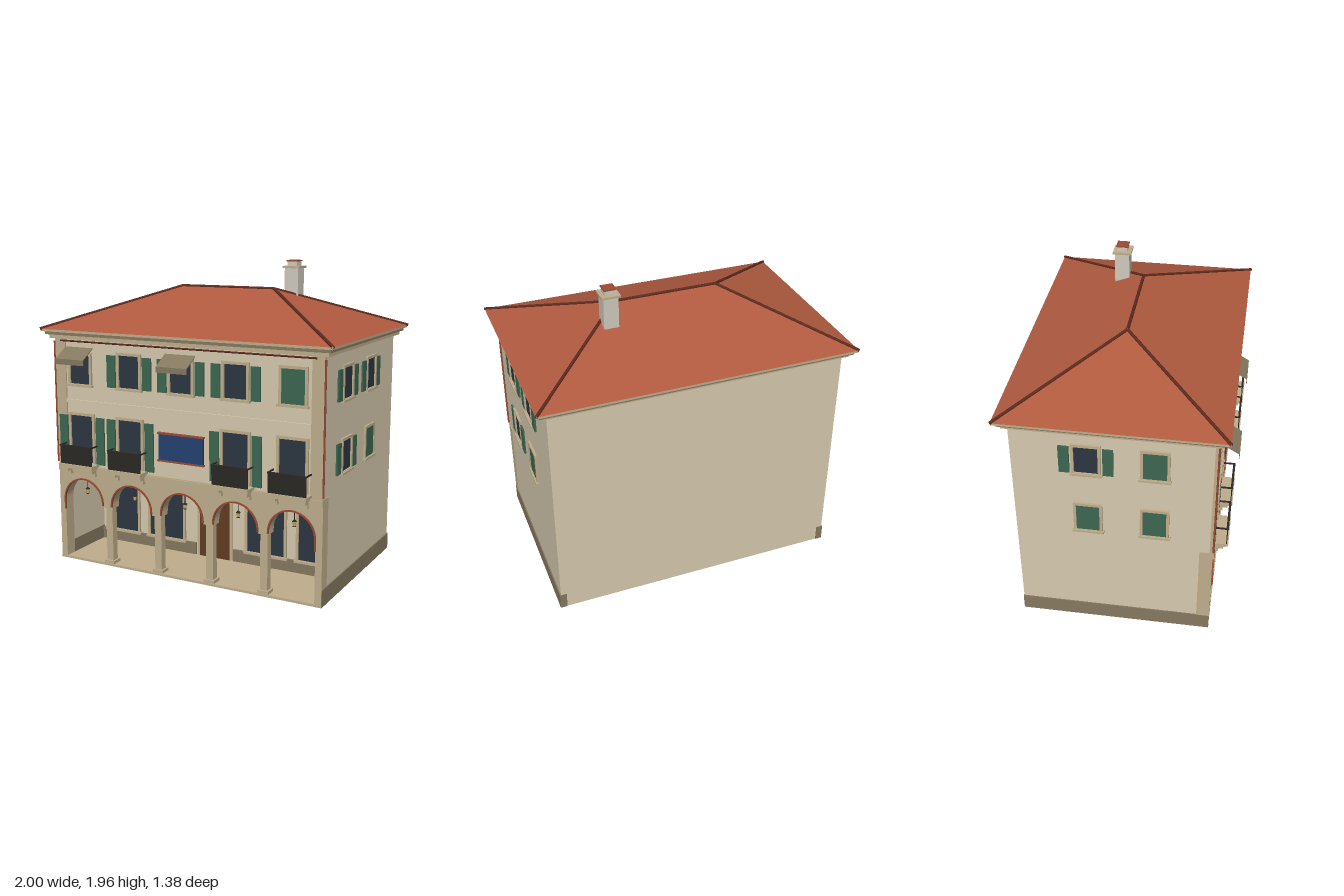
import * as THREE from 'three';

const mats = {};
const mat = (c) => (mats[c] ??= new THREE.MeshStandardMaterial({ color: c, side: THREE.DoubleSide }));
const WALL = 0xd6c9ae, TAN = 0xbfae8c, STONE = 0x857860, GLASS = 0x2c3640, GREEN = 0x3d6650,
  RED = 0x9c4a35, DARK = 0x2b2825, TILE = 0xb05a3f, RIDGE = 0x5c2a1e;

function add(parent, name, geo, color) {
  const m = new THREE.Mesh(geo, mat(color));
  m.name = name;
  parent.add(m);
  return m;
}

// Box given by its low and high corners
function box(parent, name, color, x0, x1, y0, y1, z0, z1) {
  const m = add(parent, name, new THREE.BoxGeometry(x1 - x0, y1 - y0, z1 - z0), color);
  m.position.set((x0 + x1) / 2, (y0 + y1) / 2, (z0 + z1) / 2);
  return m;
}

// Round bar between two points
function bar(parent, name, color, a, b, r, sides = 6) {
  const curve = new THREE.LineCurve3(new THREE.Vector3(...a), new THREE.Vector3(...b));
  return add(parent, name, new THREE.TubeGeometry(curve, 1, r, sides), color);
}

function group(parent, name, x = 0, y = 0, z = 0, ry = 0) {
  const g = new THREE.Group();
  g.name = name;
  g.position.set(x, y, z);
  g.rotation.y = ry;
  parent.add(g);
  return g;
}

// Window standing on local y = 0 and facing local +z
function makeWindow(parent, x, y, z, ry, { hw = 0.07, h = 0.2, shutters = false, closed = false, sill = true }) {
  const g = group(parent, 'window', x, y, z, ry), f = 0.017;
  const s = new THREE.Shape();
  s.moveTo(-hw - f, 0).lineTo(hw + f, 0).lineTo(hw + f, h + f).lineTo(-hw - f, h + f).closePath();
  const hole = new THREE.Path();
  hole.moveTo(-hw, 0.005).lineTo(-hw, h).lineTo(hw, h).lineTo(hw, 0.005).closePath();
  s.holes.push(hole);
  add(g, 'windowFrame', new THREE.ExtrudeGeometry(s, { depth: 0.014, bevelEnabled: false }), TAN);
  box(g, closed ? 'closedShutter' : 'pane', closed ? GREEN : GLASS, -hw, hw, 0.005, h, -0.005, closed ? 0.01 : 0.004);
  if (sill) box(g, 'sill', TAN, -hw - 0.025, hw + 0.025, -0.012, 0.002, 0, 0.022);
  if (shutters) for (const side of [-1, 1]) {
    const c = side * (hw + 0.058);
    box(g, 'shutter', GREEN, c - 0.031, c + 0.031, 0, h - 0.004, 0.001, 0.012);
  }
  return g;
}

// Sloping sun blind with a short valance
function makeAwning(parent, x) {
  const profile = new THREE.Shape();
  profile.moveTo(0, 1.42).lineTo(0.105, 1.355).lineTo(0.105, 1.32).lineTo(0.101, 1.32).lineTo(0.101, 1.352).lineTo(0, 1.414).closePath();
  const m = add(parent, 'awning', new THREE.ExtrudeGeometry(profile, { depth: 0.21, bevelEnabled: false }), STONE);
  m.rotation.y = -Math.PI / 2;
  m.position.set(x + 0.105, 0, 0.585);
  return m;
}

function makeBalcony(parent, x) {
  const g = group(parent, 'balcony', x);
  box(g, 'balconySlab', TAN, -0.125, 0.125, 0.655, 0.672, 0.57, 0.665);
  box(g, 'balconySlabLower', TAN, -0.115, 0.115, 0.64, 0.655, 0.57, 0.65);
  box(g, 'railingPanel', DARK, -0.12, 0.12, 0.672, 0.79, 0.652, 0.657);
  box(g, 'handrail', DARK, -0.122, 0.122, 0.788, 0.796, 0.648, 0.662);
  for (const s of [-1, 1]) {
    box(g, 'sideRail', DARK, s * 0.119 - 0.004, s * 0.119 + 0.004, 0.788, 0.796, 0.58, 0.655);
    box(g, 'bracket', TAN, s * 0.095 - 0.012, s * 0.095 + 0.012, 0.615, 0.64, 0.57, 0.635);
    box(g, 'bracketFoot', TAN, s * 0.095 - 0.012, s * 0.095 + 0.012, 0.59, 0.615, 0.57, 0.605);
  }
}

const BAYS = [-0.737, -0.37, 0, 0.37, 0.737], R = 0.15, SPRING = 0.41;

function makeArcade(parent) {
  const g = group(parent, 'arcade');
  // Front wall with five arches
  const s = new THREE.Shape();
  s.moveTo(-0.93, 0).lineTo(-0.887, 0);
  for (const c of BAYS) {
    s.lineTo(c - R, SPRING);
    s.absarc(c, SPRING, R, Math.PI, 0, true);
  }
  s.lineTo(0.887, 0).lineTo(0.93, 0).lineTo(0.93, 0.65).lineTo(-0.93, 0.65).closePath();
  add(g, 'archWall', new THREE.ExtrudeGeometry(s, { depth: 0.08, bevelEnabled: false, curveSegments: 20 }), TAN).position.z = 0.5;
  box(g, 'stringCourse', TAN, -0.93, 0.93, 0.605, 0.645, 0.57, 0.588);
  // Arch trims, lanterns
  for (const c of BAYS) {
    const t = new THREE.Shape();
    const left = c < -0.5 ? 0.34 : 0.4, right = c > 0.5 ? 0.34 : 0.4;
    t.moveTo(c - R - 0.004, left).lineTo(c - R - 0.004, SPRING);
    t.absarc(c, SPRING, R + 0.004, Math.PI, 0, true);
    t.lineTo(c + R + 0.004, right).lineTo(c + R - 0.005, right).lineTo(c + R - 0.005, SPRING);
    t.absarc(c, SPRING, R - 0.005, 0, Math.PI, false);
    t.lineTo(c - R + 0.005, left).closePath();
    add(g, 'archTrim', new THREE.ExtrudeGeometry(t, { depth: 0.012, bevelEnabled: false, curveSegments: 20 }), RED).position.z = 0.577;
    const l = group(g, 'lantern', c, 0, 0.54);
    bar(l, 'lanternRod', DARK, [0, 0.49, 0], [0, 0.56, 0], 0.002);
    add(l, 'lanternCap', new THREE.ConeGeometry(0.016, 0.015, 6), DARK).position.y = 0.492;
    add(l, 'lanternGlass', new THREE.CylinderGeometry(0.012, 0.008, 0.028, 6), 0xd9b45f).position.y = 0.471;
    add(l, 'lanternBase', new THREE.CylinderGeometry(0.01, 0.01, 0.005, 6), DARK).position.y = 0.455;
  }
  // Columns
  for (const x of [-0.553, -0.185, 0.185, 0.553]) {
    const c = group(g, 'column', x, 0, 0.54);
    box(c, 'plinth', TAN, -0.036, 0.036, 0, 0.035, -0.036, 0.036);
    box(c, 'shaft', TAN, -0.024, 0.024, 0.035, 0.39, -0.024, 0.024);
    box(c, 'capital', TAN, -0.034, 0.034, 0.388, 0.412, -0.038, 0.038);
  }
  // Walkway, inner wall and openings
  box(g, 'walkway', TAN, -0.925, 0.925, 0, 0.015, 0.1, 0.579);
  box(g, 'innerWall', WALL, -0.91, 0.91, 0, 0.63, 0.12, 0.15);
  for (const sgn of [-1, 1]) {
    box(g, 'innerBase', STONE, Math.min(sgn * 0.14, sgn * 0.9), Math.max(sgn * 0.14, sgn * 0.9), 0.015, 0.095, 0.11, 0.165);
    for (const [x, hw] of [[0.37, 0.13], [0.72, 0.12]]) {
      makeWindow(g, sgn * x, 0.095, 0.15, 0, { hw, h: 0.355 });
      box(g, 'innerPane', GLASS, sgn * x - hw, sgn * x + hw, 0.1, 0.45, 0.112, 0.13);
    }
  }
  box(g, 'doorFrame', TAN, -0.13, 0.13, 0.015, 0.42, 0.113, 0.158);
  box(g, 'door', 0x5f3b22, -0.11, 0.11, 0.015, 0.405, 0.108, 0.164);
  box(g, 'doorCanopy', DARK, -0.08, 0.08, 0.44, 0.449, 0.15, 0.2);
}

function makeRoof(parent) {
  const g = group(parent, 'roof');
  const y = 1.53, top = 1.785, zr = -0.017;
  const fl = [-0.995, y, 0.645], fr = [0.995, y, 0.645], br = [0.995, y, -0.68], bl = [-0.995, y, -0.68];
  const rl = [-0.33, top, zr], rr = [0.33, top, zr];
  const tris = [fl, fr, rr, fl, rr, rl, fr, br, rr, br, bl, rl, br, rl, rr, bl, fl, rl];
  const geo = new THREE.BufferGeometry();
  geo.setAttribute('position', new THREE.Float32BufferAttribute(tris.flat(), 3));
  geo.computeVertexNormals();
  add(g, 'roofTiles', geo, TILE);
  box(g, 'eaves', TAN, -0.993, 0.993, 1.515, 1.53, -0.678, 0.643);
  for (const [a, b] of [[fl, rl], [bl, rl], [fr, rr], [br, rr], [rl, rr]]) bar(g, 'ridgeTiles', RIDGE, a, b, 0.01, 8);
  // Stepped cornice
  box(g, 'corniceUpper', STONE, -0.975, 0.975, 1.495, 1.515, -0.66, 0.625);
  box(g, 'corniceLower', TAN, -0.955, 0.955, 1.47, 1.495, -0.635, 0.605);
  // Chimney
  const c = group(g, 'chimney', 0.405, 0, -0.16);
  box(c, 'stack', 0xd0cabd, -0.046, 0.046, 1.6, 1.91, -0.046, 0.046);
  box(c, 'chimneyCap', TAN, -0.058, 0.058, 1.91, 1.923, -0.058, 0.058);
  box(c, 'flue', 0xd0cabd, -0.033, 0.033, 1.923, 1.952, -0.033, 0.033);
  box(c, 'flueTop', RED, -0.038, 0.038, 1.952, 1.96, -0.038, 0.038);
}

export function createModel() {
  const model = new THREE.Group();
  model.name = 'arcadedHouse';

  // Shell
  box(model, 'upperStoreys', WALL, -0.925, 0.925, 0.62, 1.5, -0.605, 0.575);
  box(model, 'backWall', WALL, -0.925, 0.925, 0, 0.62, -0.605, -0.57);
  for (const s of [-1, 1]) {
    const span = (a, b) => (s > 0 ? [a, b] : [-b, -a]);
    box(model, 'sideWall', WALL, ...span(0.89, 0.925), 0, 0.62, -0.605, 0.5);
    box(model, 'sidePlinth', STONE, ...span(0.888, 0.932), 0, 0.105, -0.608, 0.578);
    box(model, 'cornerPilaster', TAN, ...span(0.85, 0.928), 0.645, 1.47, 0.56, 0.583);
    bar(model, 'downpipe', RED, [s * 0.932, 0.66, 0.583], [s * 0.932, 1.45, 0.583], 0.006);
  }
  box(model, 'upperBand', WALL, -0.85, 0.85, 1.058, 1.08, 0.57, 0.586);
  bar(model, 'gutterPipe', RIDGE, [-0.88, 1.457, 0.588], [0.88, 1.457, 0.588], 0.006);

  makeArcade(model);
  makeRoof(model);

  // Front, top storey
  const top = [{ h: 0.19 }, { shutters: true }, { shutters: true }, { shutters: true }, { closed: true }];
  [-0.74, -0.37, 0, 0.37, 0.737].forEach((x, i) => makeWindow(model, x, 1.18, 0.575, 0, { hw: 0.073, h: 0.207, ...top[i] }));
  makeAwning(model, -0.74);
  makeAwning(model, 0);

  // Front, balcony storey
  for (const x of [-0.737, -0.37, 0.37, 0.737]) {
    makeWindow(model, x, 0.67, 0.575, 0, { hw: 0.083, h: 0.31, shutters: x < 0.5, sill: false });
    makeBalcony(model, x);
  }
  const sign = group(model, 'signPanel');
  box(sign, 'signBoard', 0x25406f, -0.155, 0.155, 0.76, 0.928, 0.57, 0.592);
  for (const y of [0.757, 0.929]) box(sign, 'signRail', RED, -0.162, 0.162, y - 0.005, y + 0.005, 0.57, 0.598);

  // Side windows: [side, y, z, options]
  const open = { shutters: true }, shut = { closed: true };
  for (const [s, y, z, o] of [
    [1, 1.18, 0.23, open], [1, 1.18, -0.165, open], [1, 0.745, 0.23, open], [1, 0.745, -0.165, shut],
    [-1, 1.18, 0.23, shut], [-1, 1.18, -0.165, open], [-1, 0.745, 0.23, shut], [-1, 0.745, -0.165, shut],
  ]) makeWindow(model, s * 0.925, y, z, s * Math.PI / 2, { hw: 0.069, h: 0.19, ...o });

  return model;
}
